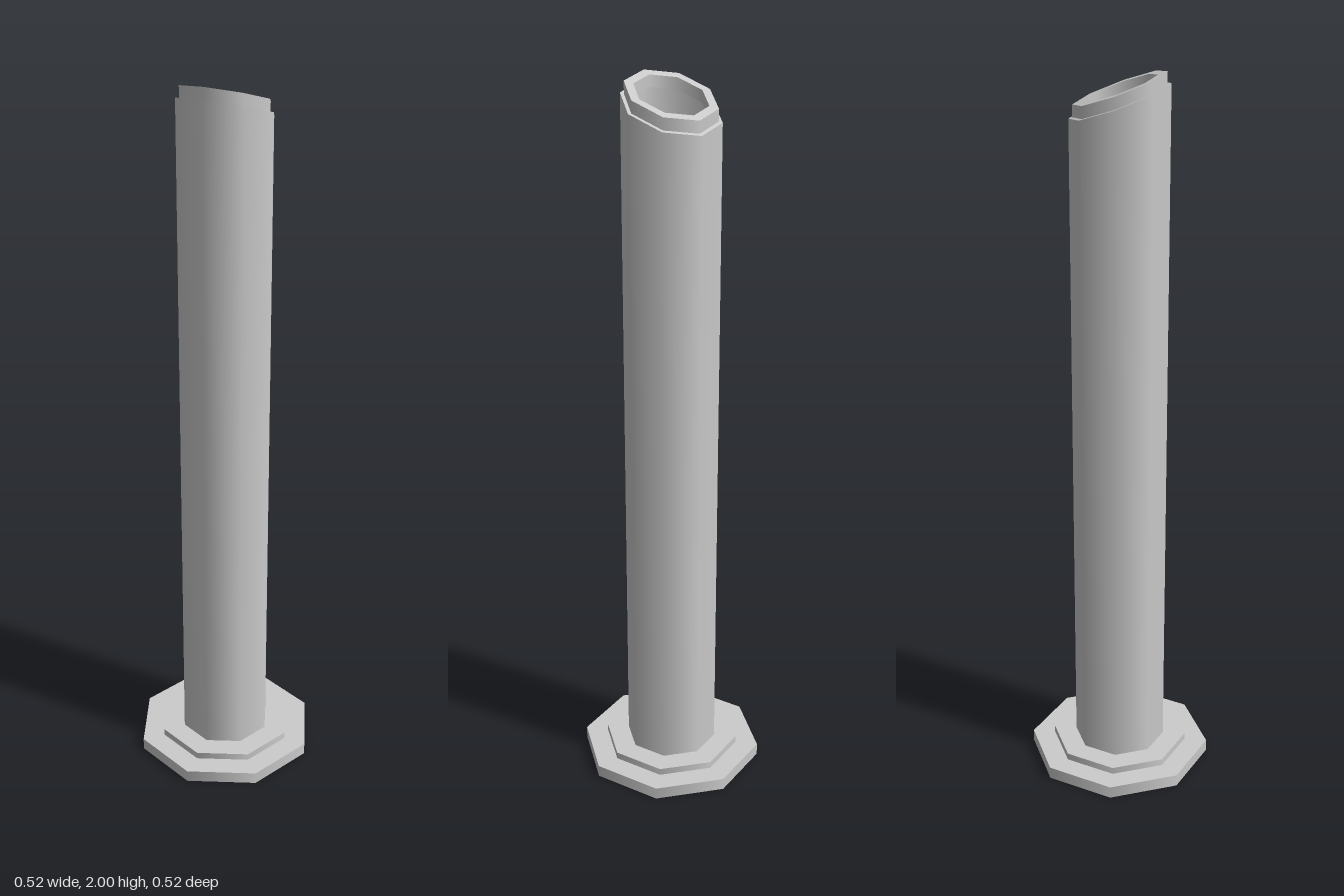
import * as THREE from 'three';

const SIDES = 8;
const SLOPE = 0.36; // slant of the mouth, rising towards the front

// Profile corners from the foot up and over the mouth: radius, height, slanted or not
const profile = [
  [0.26, 0, false],
  [0.26, 0.035, false],
  [0.195, 0.035, false],
  [0.195, 0.055, false],
  [0.13, 0.055, false],
  [0.13, 1.925, true],
  [0.12, 1.925, true],
  [0.12, 1.957, true],
  [0.096, 1.957, true],
  [0.096, 1.925, true],
];

const names = [
  'baseFlangeSide', 'baseFlangeTop', 'upperFlangeSide', 'upperFlangeTop',
  'tubeWall', 'tubeShoulder', 'rimOuterWall', 'rimTop', 'rimInnerWall',
];

// One band of the shell: smooth around, sharp where it meets its neighbours
function band(a, b) {
  const points = [a, b].map(([r, y]) => new THREE.Vector2(r, y));
  const geometry = new THREE.LatheGeometry(points, SIDES);
  const pos = geometry.attributes.position;
  for (let i = 0; i < pos.count; i++) {
    const slanted = (i % 2 === 0 ? a : b)[2];
    if (slanted) pos.setY(i, pos.getY(i) + SLOPE * pos.getZ(i));
  }
  if (a[0] !== b[0]) geometry.computeVertexNormals(); // flat rings
  return geometry;
}

export function createModel() {
  const group = new THREE.Group();
  group.name = 'slantedPipe';
  const material = new THREE.MeshStandardMaterial({ color: 0xcccccc, side: THREE.DoubleSide });
  names.forEach((name, i) => {
    const mesh = new THREE.Mesh(band(profile[i], profile[i + 1]), material);
    mesh.name = name;
    group.add(mesh);
  });
  return group;
}
